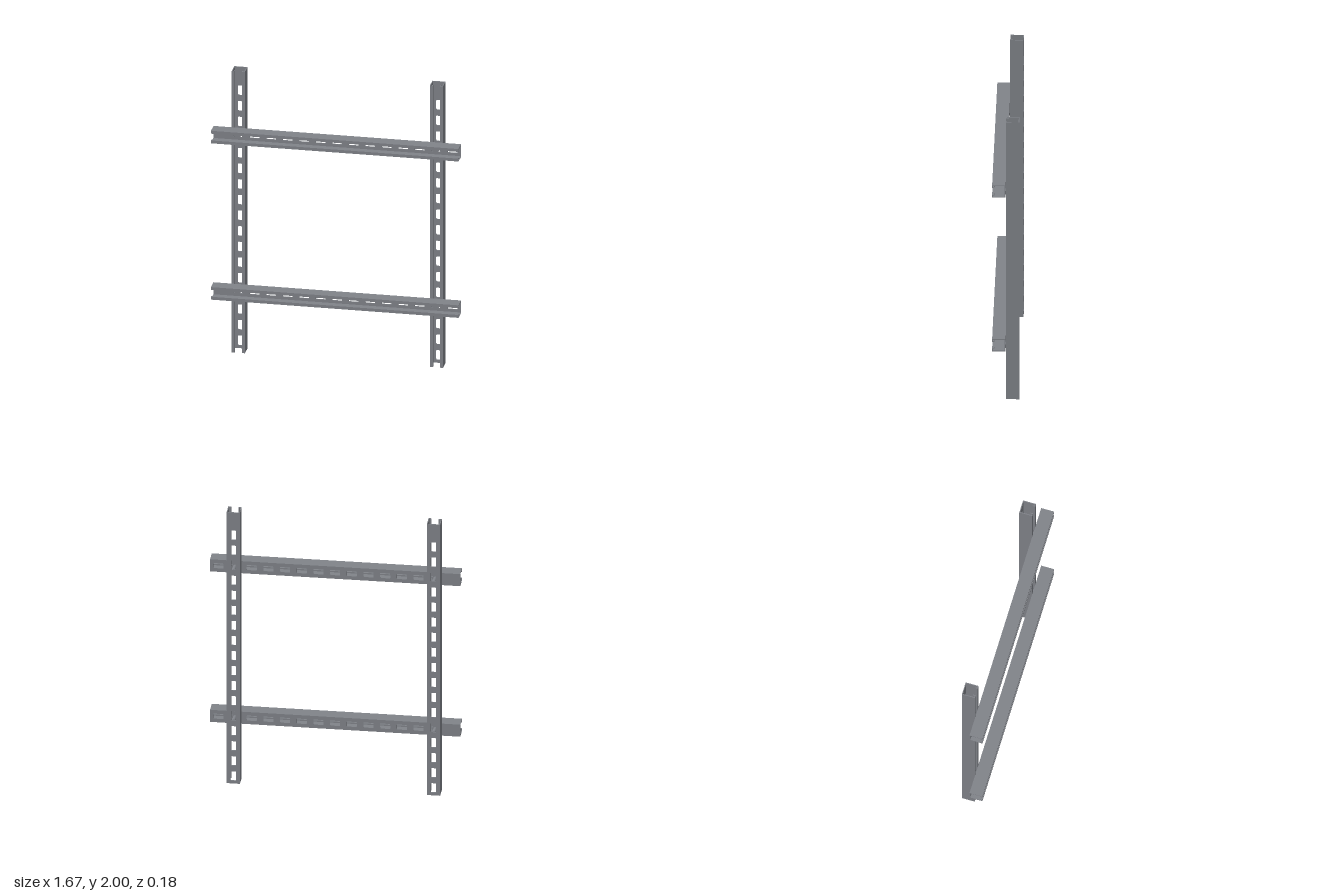
import * as THREE from 'three';

const W = 0.0889, H = W / 2, T = 0.0056;   // channel size and sheet thickness
const PITCH = 0.1111;                      // slot spacing

const steel = new THREE.MeshStandardMaterial({ color: 0x808389 });
steel.name = 'galvanised steel grey';

// Rectangle with small rounded corners, used for the slots
function slotPath(cy, w, h, r) {
  const p = new THREE.Path(), x = w / 2, b = cy - h / 2, t = cy + h / 2;
  p.moveTo(-x + r, b);
  p.lineTo(x - r, b).quadraticCurveTo(x, b, x, b + r);
  p.lineTo(x, t - r).quadraticCurveTo(x, t, x - r, t);
  p.lineTo(-x + r, t).quadraticCurveTo(-x, t, -x, t - r);
  p.lineTo(-x, b + r).quadraticCurveTo(-x, b, -x + r, b);
  return p;
}

// Slotted C-channel along +y, web at z = 0, open towards +z
function channel(name, length) {
  const group = new THREE.Group();
  group.name = name;

  // Back web with its row of slots; the last pitch is left solid
  const plate = new THREE.Shape([[-H, 0], [H, 0], [H, length], [-H, length]].map(p => new THREE.Vector2(...p)));
  const count = Math.round(length / PITCH) - 1;
  for (let i = 0; i < count; i++) plate.holes.push(slotPath((i + 0.5) * PITCH, 0.037, 0.068, 0.006));
  const web = new THREE.Mesh(new THREE.ExtrudeGeometry(plate, { depth: T, bevelEnabled: false, curveSegments: 3 }), steel);
  web.name = 'slottedWeb';
  group.add(web);

  // Side flanges with inward lips that fold back into the channel
  const a = 0.024, back = W - 0.017;
  const profile = [[H - T, T], [H, T], [H, W], [a, W], [a, back], [a + T, back], [a + T, W - T], [H - T, W - T]];
  for (const s of [1, -1]) {
    const shape = new THREE.Shape(profile.map(([x, z]) => new THREE.Vector2(s * x, z)));
    const geo = new THREE.ExtrudeGeometry(shape, { depth: length, bevelEnabled: false });
    geo.rotateX(Math.PI / 2).translate(0, length, 0);
    const flange = new THREE.Mesh(geo, steel);
    flange.name = s > 0 ? 'leftFlange' : 'rightFlange';
    group.add(flange);
  }
  return group;
}

// Round or hexagonal piece lying along z between z0 and z1
function pin(name, r, z0, z1, sides) {
  const geo = new THREE.CylinderGeometry(r, r, z1 - z0, sides);
  geo.rotateY(Math.PI / 2).rotateX(Math.PI / 2).translate(0, 0, (z0 + z1) / 2);
  const mesh = new THREE.Mesh(sides === 6 ? geo.toNonIndexed() : geo, steel);
  if (sides === 6) mesh.geometry.computeVertexNormals();
  mesh.name = name;
  return mesh;
}

function bolt() {
  const group = new THREE.Group();
  group.name = 'bolt';
  group.add(pin('boltShank', 0.0133, -0.06, 0.02, 20));
  group.add(pin('washer', 0.022, T, 0.01, 24));
  group.add(pin('hexHead', 0.0215, 0.01, 0.027, 6));
  return group;
}

export function createModel() {
  const model = new THREE.Group();
  model.name = 'strutFrame';
  const postX = 0.6667, railLength = 15 * PITCH;

  // Upright posts behind the rails
  for (const s of [1, -1]) {
    const post = channel(s > 0 ? 'leftPost' : 'rightPost', 2);
    post.position.set(s * postX, 0, -W);
    model.add(post);
  }

  // Cross rails in front, bolted to both posts
  for (const y of [0.4444, 1.5556]) {
    const rail = channel(y > 1 ? 'upperRail' : 'lowerRail', railLength);
    rail.rotation.z = Math.PI / 2;
    rail.position.set(railLength / 2, y, 0);
    model.add(rail);
    for (const s of [1, -1]) {
      const b = bolt();
      b.position.set(s * postX, y, 0);
      model.add(b);
    }
  }
  return model;
}
